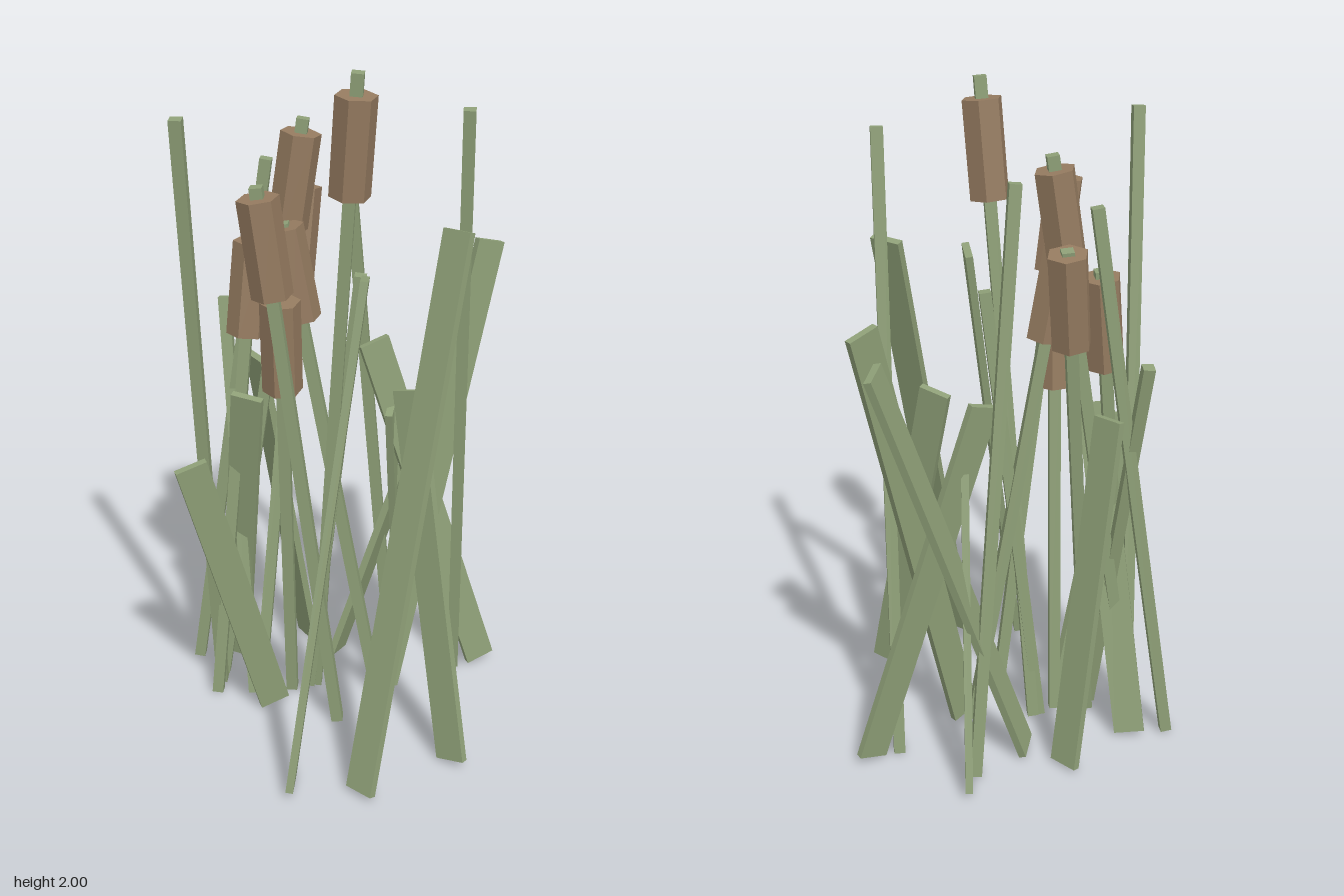
import * as THREE from 'three';

export function createModel() {
  const group = new THREE.Group();
  const green = new THREE.MeshStandardMaterial({ color: 0x8e9f77 });
  green.name = 'reed green';
  const brown = new THREE.MeshStandardMaterial({ color: 0x957b60 });
  brown.name = 'seed head brown';
  const v = (p) => new THREE.Vector3(...p);
  const up = new THREE.Vector3(0, 1, 0);

  // Prism with the given number of sides between two points
  function rod(name, a, b, radius, sides, material) {
    const dir = b.clone().sub(a);
    const geo = new THREE.CylinderGeometry(radius, radius, dir.length(), sides).toNonIndexed();
    geo.computeVertexNormals();
    const mesh = new THREE.Mesh(geo, material);
    mesh.name = name;
    mesh.position.copy(a).add(b).multiplyScalar(0.5);
    mesh.quaternion.setFromUnitVectors(up, dir.normalize());
    group.add(mesh);
  }

  // Flat leaf: a box from bottom to top whose broad side follows [wx, wz]
  function blade(bottom, top, [wx, wz], width = 0.093) {
    const a = v(bottom), b = v(top);
    const axis = b.clone().sub(a);
    const length = axis.length();
    axis.normalize();
    const side = new THREE.Vector3(wx, 0, wz);
    side.addScaledVector(axis, -side.dot(axis)).normalize();
    const normal = side.clone().cross(axis);
    const mesh = new THREE.Mesh(new THREE.BoxGeometry(width, length, 0.022), green);
    mesh.name = 'blade';
    mesh.quaternion.setFromRotationMatrix(new THREE.Matrix4().makeBasis(side, axis, normal));
    mesh.position.copy(a).add(b).multiplyScalar(0.5);
    group.add(mesh);
  }

  // Cattails: stem bottom, centre of the head's top, tip above the head
  const cattails = [
    [[-0.07, 0.01, -0.11], [-0.075, 1.94, 0.094], 0.06],
    [[-0.255, 0.01, -0.355], [-0.05, 1.79, -0.17], 0.04],
    [[-0.335, 0.01, -0.28], [-0.162, 1.48, -0.254], 0.02],
    [[0.06, 0.01, 0.03], [-0.147, 1.55, -0.134], 0.01],
    [[-0.21, 0.01, -0.22], [0.035, 1.6, -0.277], 0.01],
    [[-0.14, 0.01, 0.08], [-0.317, 1.69, -0.017], 0.03],
    [[-0.145, 0.01, -0.14], [-0.222, 1.37, -0.057], -0.02],
  ];
  for (const [bottom, top, tip] of cattails) {
    const a = v(bottom), b = v(top);
    const dir = b.clone().sub(a).normalize();
    rod('cattailStem', a, b.clone().addScaledVector(dir, tip), 0.024, 4, green);
    rod('seedHead', b.clone().addScaledVector(dir, -0.275), b, 0.058, 6, brown);
  }

  // Bare stems
  const stems = [
    [[-0.29, 0.01, -0.32], [-0.457, 1.89, -0.168]],
    [[0.335, 0.01, 0.1], [0.19, 1.89, 0.24]],
    [[0.28, 0.01, -0.155], [0.092, 1.78, -0.147]],
    [[-0.262, 0.01, -0.485], [-0.085, 1.7, -0.287]],
    [[-0.25, 0.01, -0.2], [-0.147, 1.26, -0.43]],
    [[-0.09, 0.01, -0.12], [-0.005, 1.42, 0.03]],
  ];
  for (const [a, b] of stems) rod('bareStem', v(a), v(b), 0.024, 4, green);

  // Leaves
  blade([-0.452, 0.02, 0.245], [-0.125, 1.48, 0.188], [0.07, -0.07]);
  blade([0.07, 0.025, 0.058], [0.468, 1.43, 0.063], [0.09, 0.016]);
  blade([0.09, 0.02, -0.2], [0.49, 1.34, 0.01], [0.075, -0.03]);
  blade([0.417, 0.025, 0.14], [0.14, 1.15, -0.08], [0.085, 0.03]);
  blade([-0.24, 0.02, -0.11], [-0.49, 0.92, -0.135], [0.088, 0.03]);
  blade([-0.315, 0.02, 0.395], [0.155, 1.57, 0.25], [0.01, 0.09]);
  blade([-0.015, 0.02, 0.46], [0.055, 1.1, 0.167], [0.02, 0.09]);
  blade([0.08, 0.015, -0.34], [-0.11, 1.09, -0.332], [-0.01, 0.09]);
  blade([0.355, 0.02, -0.19], [0.165, 0.94, -0.03], [0.06, -0.05], 0.075);
  blade([-0.17, 0.02, -0.41], [-0.255, 1.05, -0.18], [0.05, 0.08]);

  return group;
}
